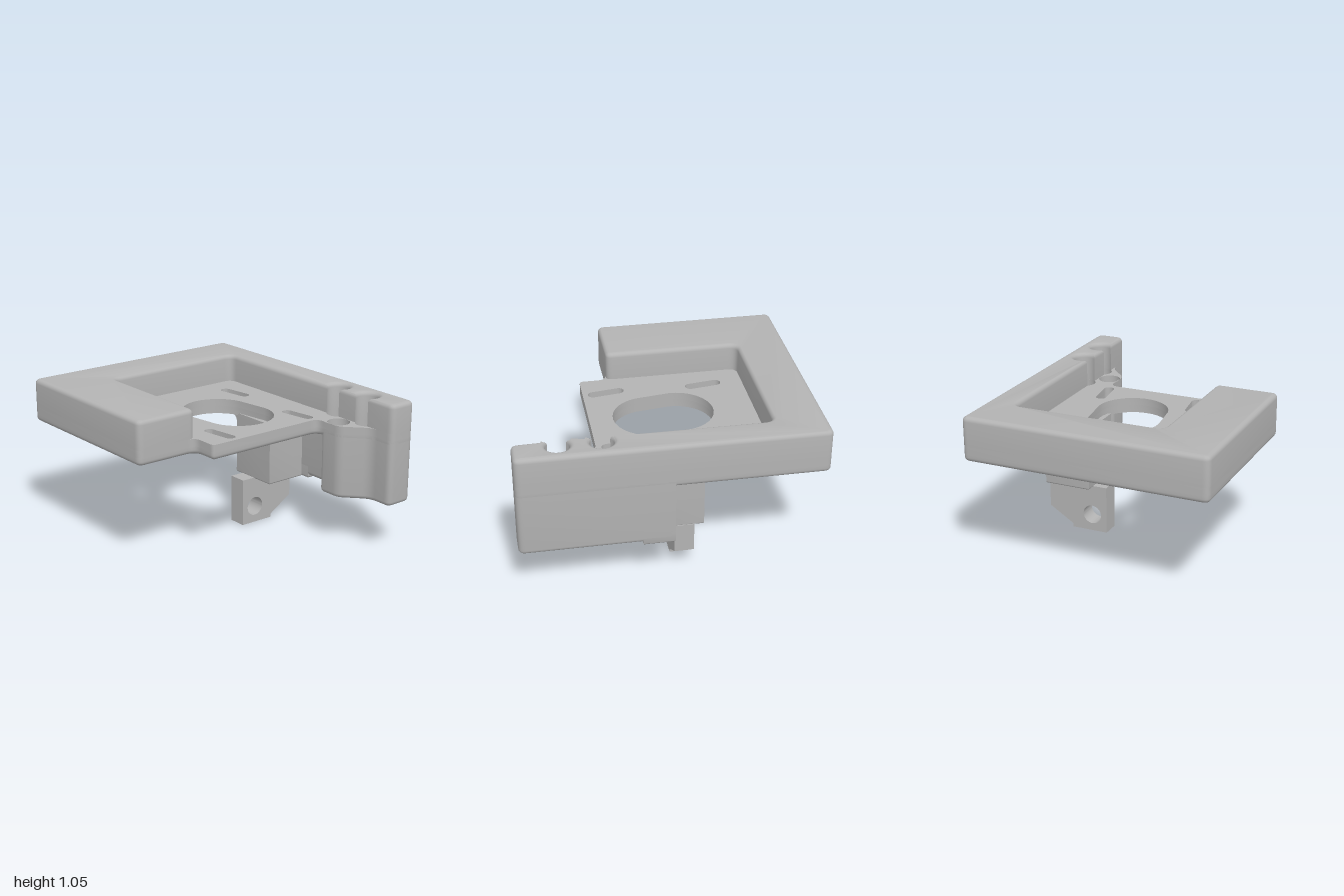
import * as THREE from 'three';
import { toCreasedNormals } from 'three/addons/utils/BufferGeometryUtils.js';

const V = (x, z) => new THREE.Vector2(x, z);

// Plan outline (x, z) from corners [x, z, radius]
function outline(corners) {
  const out = [], n = corners.length;
  corners.forEach(([x, z, r = 0], i) => {
    const p = V(x, z);
    if (!r) { out.push(p); return; }
    const toward = (c) => V(c[0], c[1]).sub(p).setLength(r).add(p);
    const curve = new THREE.QuadraticBezierCurve(
      toward(corners[(i + n - 1) % n]), p, toward(corners[(i + 1) % n]));
    out.push(...curve.getPoints(6));
  });
  return out;
}

// Points of a slot (or a circle when half = 0), wound opposite to the outlines
function slot(cx, cz, r, half = 0, tilt = 0) {
  const pts = [], n = 32;
  const c = Math.cos(tilt), s = Math.sin(tilt);
  for (let i = 0; i < n; i++) {
    const a = -((i + 0.5) / n) * Math.PI * 2;
    const u = r * Math.cos(a) + half * Math.sign(Math.cos(a)), v = r * Math.sin(a);
    pts.push(V(cx + u * c - v * s, cz + u * s + v * c));
  }
  return pts;
}

// Move an outline inwards
function inset(pts, d) {
  const n = pts.length;
  return pts.map((p, i) => {
    const a = p.clone().sub(pts[(i + n - 1) % n]).normalize();
    const b = pts[(i + 1) % n].clone().sub(p).normalize();
    const m = V(-a.y - b.y, a.x + b.x).normalize();
    const k = Math.min(1.5, 1 / Math.max(0.1, -m.x * a.y + m.y * a.x));
    return p.clone().addScaledVector(m, d * k);
  });
}

// Horizontal slab with straight holes and optional rounded bottom / top edges
function slab(pts, holes, y0, y1, rBottom = 0, rTop = 0) {
  const pos = [], rings = [];
  const put = (...list) => list.forEach(([p, y]) => pos.push(p.x, y, p.y));
  const steps = 5;
  for (let k = rBottom ? steps : 0; k >= 0; k--) {
    const a = (k / steps) * Math.PI / 2;
    rings.push([inset(pts, rBottom * (1 - Math.cos(a))), y0 + rBottom * (1 - Math.sin(a))]);
  }
  for (let k = 0; k <= (rTop ? steps : 0); k++) {
    const a = (k / steps) * Math.PI / 2;
    rings.push([inset(pts, rTop * (1 - Math.cos(a))), y1 - rTop * (1 - Math.sin(a))]);
  }
  const band = ([lo, ya], [hi, yb]) => lo.forEach((p, i) => {
    const j = (i + 1) % lo.length;
    put([p, ya], [hi[i], yb], [hi[j], yb], [p, ya], [hi[j], yb], [lo[j], ya]);
  });
  for (let i = 0; i + 1 < rings.length; i++) band(rings[i], rings[i + 1]);
  holes.forEach((h) => band([h, y0], [h, y1]));
  const cap = ([ring, y], up) => {
    const all = ring.concat(...holes);
    for (const [a, b, c] of THREE.ShapeUtils.triangulateShape(ring, holes)) {
      const t = up ? [a, c, b] : [a, b, c];
      put(...t.map((i) => [all[i], y]));
    }
  };
  cap(rings[0], false);
  cap(rings[rings.length - 1], true);
  const g = new THREE.BufferGeometry();
  g.setAttribute('position', new THREE.Float32BufferAttribute(pos, 3));
  return toCreasedNormals(g, 0.6);
}

// Concave corner strip running along z
function filletStrip(r, length) {
  const s = new THREE.Shape();
  s.moveTo(0, 0);
  s.lineTo(-r, 0);
  s.quadraticCurveTo(0, 0, 0, -r);
  return toCreasedNormals(new THREE.ExtrudeGeometry(s, { depth: length, bevelEnabled: false, curveSegments: 8 }), 0.6);
}

export function createModel() {
  const model = new THREE.Group();
  const grey = new THREE.MeshStandardMaterial({ color: 0xb3b3b3 });
  grey.name = 'plain grey';
  const add = (name, geometry) => {
    const mesh = new THREE.Mesh(geometry, grey);
    mesh.name = name;
    model.add(mesh);
    return mesh;
  };

  const R = 0.045, EDGE = 0.03, BORE = 0.077;
  const screws = [[0.44, -0.69], [0.715, -0.69], [0.585, -0.56]];
  const screwHoles = () => screws.map(([x, z]) => slot(x, z, 0.039));
  const tilt = -0.14;

  // Motor opening and four adjusting slots
  const openings = () => {
    const list = [slot(-0.048, -0.118, 0.246, 0.095, tilt)];
    for (const x of [-0.385, 0.29])
      for (const z of [-0.455, 0.22]) list.push(slot(x, z, 0.036, 0.09, tilt));
    return list;
  };

  // Floor plate, bored wider in its upper part for the screw heads
  const plate = outline([
    [-1, -0.84, R], [1, -0.84, R], [1, -0.64, R], [0.82, -0.64, 0.05], [0.66, -0.49, 0.04],
    [0.45, -0.49, 0.06], [0.45, 0.4, 0.03], [0.26, 0.4, 0.06], [0.26, 0.84, R], [-1, 0.84, R],
  ]);
  add('floorPlateLower', slab(plate, [...openings(), ...screwHoles()], 0.755, 0.81, EDGE));
  const bores = screws.map(([x, z]) => slot(x, z, BORE));
  add('floorPlateUpper', slab(plate, [...openings(), ...bores], 0.81, 0.86));

  // Raised rim on three sides, notched around the two rear screws
  const notch = (cx) => {
    const a0 = Math.asin(0.05 / BORE), pts = [];
    for (let i = 0; i <= 20; i++) {
      const a = a0 - (i / 20) * (Math.PI + 2 * a0);
      pts.push([cx + BORE * Math.cos(a), -0.69 + BORE * Math.sin(a)]);
    }
    return pts;
  };
  const rim = outline([
    [-1, -0.84, R], [1, -0.84, R], [1, -0.64, R], ...notch(0.715), ...notch(0.44),
    [-0.66, -0.64, 0.06], [-0.66, 0.4, 0.06], [0.26, 0.4, R], [0.26, 0.84, R], [-1, 0.84, R],
  ]);
  add('raisedRim', slab(rim, [], 0.86, 1.055, 0, EDGE));

  // Rear wall hanging below the plate, with the screw boss
  const wall = outline([
    [0, -0.84], [1, -0.84, R], [1, -0.64, R], [0.82, -0.64, 0.05], [0.66, -0.49, 0.04],
    [0.49, -0.49, 0.035], [0.49, -0.64, 0.05], [0, -0.64],
  ]);
  add('rearWall', slab(wall, screwHoles(), 0.352, 0.81, EDGE));
  const foot = outline([[0, -0.84], [0.21, -0.84], [0.21, -0.64], [0, -0.64]]);
  add('wallFoot', slab(foot, [], 0.33, 0.42, 0.02));

  // Arm carrying the pivot tab
  const arm = outline([[-0.22, -0.67], [0.14, -0.67], [0.14, -0.34], [-0.22, -0.34]]);
  add('arm', slab(arm, [], 0.33, 0.77, 0.012));
  add('armFillet', filletStrip(0.06, 0.33)).position.set(-0.22, 0.756, -0.67);
  const wallFillet = add('wallFillet', filletStrip(0.06, 0.3));
  wallFillet.rotation.y = Math.PI / 2;
  wallFillet.position.set(0.14, 0.756, -0.64);

  // Pivot tab with a cross hole
  const tab = new THREE.Shape([
    V(0.24, 0), V(0.5, 0), V(0.5, 0.025), V(0.675, 0.135), V(0.675, 0.337), V(0.24, 0.337),
  ]);
  tab.holes.push(new THREE.Path().absarc(0.35, 0.12, 0.067, 0, Math.PI * 2, true));
  const tabGeo = new THREE.ExtrudeGeometry(tab, { depth: 0.13, bevelEnabled: false, curveSegments: 24 });
  tabGeo.rotateY(Math.PI / 2).translate(-0.155, 0, 0);
  add('pivotTab', toCreasedNormals(tabGeo, 0.6));

  return model;
}
